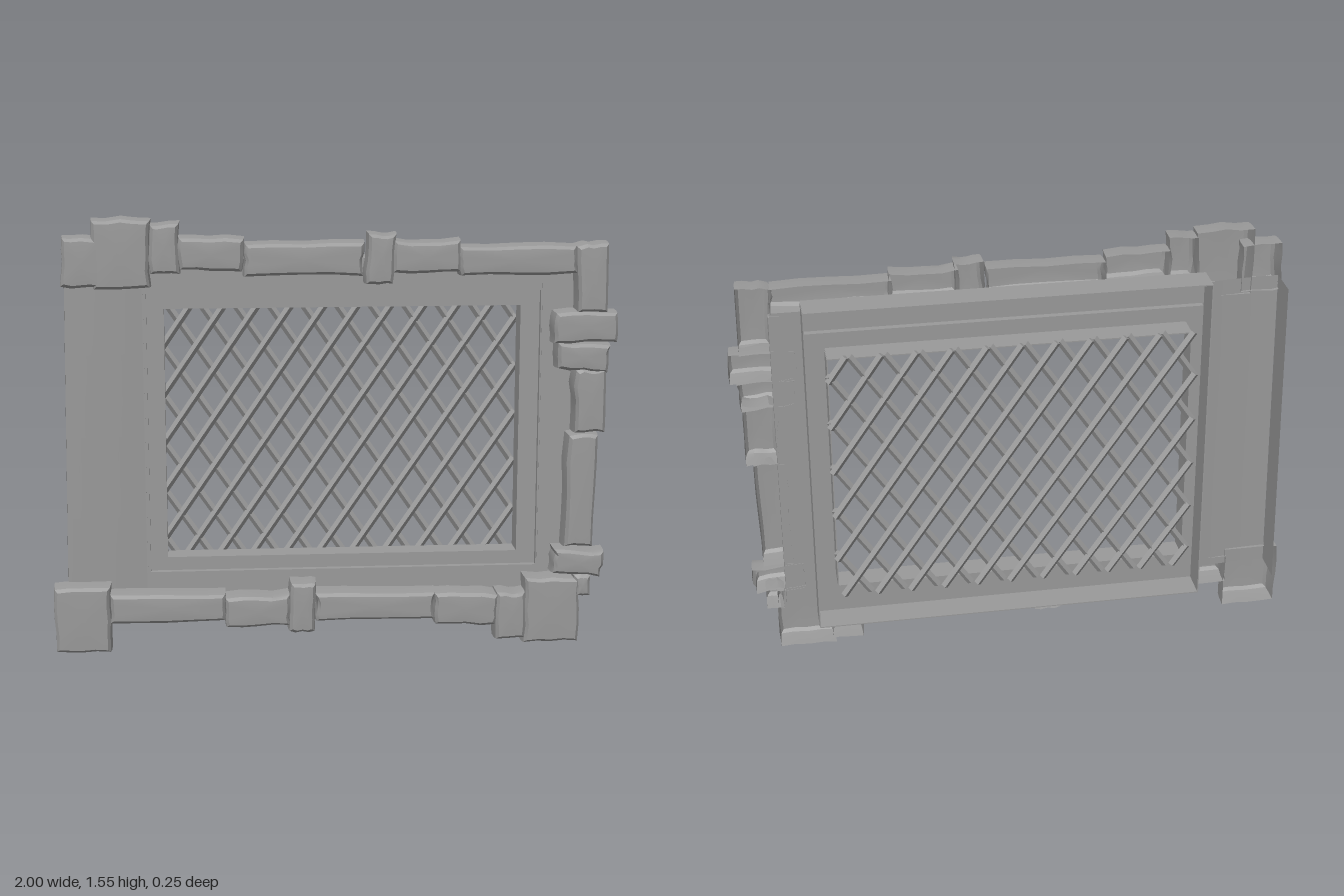
import * as THREE from 'three';
import { toCreasedNormals } from 'three/addons/utils/BufferGeometryUtils.js';

const material = new THREE.MeshStandardMaterial({ color: 0x9a9a9a, side: THREE.DoubleSide });

// Small seeded generator, returns -1..1
let seed = 7;
function jitter() {
  seed = (seed * 16807) % 2147483647;
  return (seed / 2147483647) * 2 - 1;
}

function add(parent, name, geometry, x = 0, y = 0, z = 0) {
  const mesh = new THREE.Mesh(geometry, material);
  mesh.name = name;
  mesh.position.set(x, y, z);
  parent.add(mesh);
  return mesh;
}

// Rough stone: a hollow shell, open at the back, with a worn front edge
function stoneGeometry(x0, x1, y0, y1, tilt = 0) {
  const corners = [[x0, y0], [x1, y0], [x1, y1], [x0, y1]];
  const cx = (x0 + x1) / 2, cy = (y0 + y1) / 2;
  const hw = (x1 - x0) / 2, hh = (y1 - y0) / 2;
  const outline = [];
  const steps = 4;
  corners.forEach(([ax, ay], i) => {
    const [bx, by] = corners[(i + 1) % 4];
    for (let k = 0; k < steps; k++) {
      const t = k / steps;
      outline.push([ax + (bx - ax) * t + jitter() * 0.005, ay + (by - ay) * t + jitter() * 0.005]);
    }
  });
  // Cross-sections from back to front: depth and inset
  const levels = [[0.032, 0], [0.08, 0.001], [0.11, 0.004], [0.123, 0.014]];
  const n = outline.length;
  const positions = [], index = [];
  levels.forEach(([z, inset]) => outline.forEach(([x, y]) => positions.push(
    (x - cx) * (1 - inset / hw), (y - cy) * (1 - inset / hh), z)));
  for (let l = 0; l < levels.length - 1; l++) {
    for (let i = 0; i < n; i++) {
      const a = l * n + i, b = l * n + (i + 1) % n;
      index.push(a, b, b + n, a, b + n, a + n);
    }
  }
  // Slightly domed front face
  const last = (levels.length - 1) * n, centre = positions.length / 3;
  positions.push(0, 0, 0.127);
  for (let i = 0; i < n; i++) index.push(last + i, last + (i + 1) % n, centre);
  const geometry = new THREE.BufferGeometry();
  geometry.setAttribute('position', new THREE.Float32BufferAttribute(positions, 3));
  geometry.setIndex(index);
  geometry.rotateZ(tilt).translate(cx, cy, 0);
  return toCreasedNormals(geometry, 0.5);
}

// Stones as x0, x1, y0, y1 and an optional tilt
const stones = {
  topStone: [
    [-0.94, -0.80, 1.31, 1.485], [-0.835, -0.635, 1.305, 1.547], [-0.64, -0.535, 1.355, 1.53],
    [-0.54, -0.315, 1.365, 1.48], [-0.315, 0.10, 1.345, 1.46], [0.107, 0.207, 1.312, 1.49, -0.06],
    [0.20, 0.435, 1.35, 1.465], [0.43, 0.845, 1.34, 1.447],
  ],
  sideStone: [
    [0.842, 0.957, 1.205, 1.448, 0.02], [0.768, 0.994, 1.1, 1.213], [0.78, 0.965, 1.0, 1.1, -0.06],
    [0.842, 0.957, 0.78, 1.01], [0.822, 0.932, 0.365, 0.775, -0.01], [0.782, 0.965, 0.258, 0.352, -0.1],
    [0.86, 0.92, 0.175, 0.262],
  ],
  bottomStone: [
    [-0.996, -0.795, 0.007, 0.25], [-0.80, -0.385, 0.113, 0.218], [-0.395, -0.16, 0.09, 0.205],
    [-0.163, -0.067, 0.065, 0.25, -0.06], [-0.07, 0.36, 0.103, 0.21], [0.355, 0.585, 0.08, 0.2, -0.04],
    [0.575, 0.69, 0.025, 0.2], [0.68, 0.883, 0.01, 0.25],
  ],
};

function rectangle(target, x0, x1, y0, y1) {
  target.moveTo(x0, y0);
  target.lineTo(x1, y0);
  target.lineTo(x1, y1);
  target.lineTo(x0, y1);
  target.closePath();
  return target;
}

// Four thin walls around a rectangle, running from z0 to z1
function wallRing(parent, name, x0, x1, y0, y1, z0, z1) {
  const depth = z1 - z0, z = (z0 + z1) / 2, t = 0.004;
  for (const x of [x0, x1]) add(parent, name, new THREE.BoxGeometry(t, y1 - y0, depth), x, (y0 + y1) / 2, z);
  for (const y of [y0, y1]) add(parent, name, new THREE.BoxGeometry(x1 - x0, t, depth), (x0 + x1) / 2, y, z);
}

// Part of the line y = cy + slope * (x - cx) inside the lattice area
const area = { x0: -0.605, x1: 0.668, y0: 0.3, y1: 1.24 };
function clipLine(cx, cy, slope) {
  const xa = cx + (area.y0 - cy) / slope, xb = cx + (area.y1 - cy) / slope;
  const start = Math.max(area.x0, Math.min(xa, xb));
  const end = Math.min(area.x1, Math.max(xa, xb));
  return [start, end];
}

export function createModel() {
  seed = 7;
  const model = new THREE.Group();
  model.name = 'latticeWindow';

  // Stone surround
  const surround = new THREE.Group();
  surround.name = 'stoneSurround';
  for (const [name, list] of Object.entries(stones)) {
    for (const stone of list) add(surround, name, stoneGeometry(...stone));
  }
  model.add(surround);

  // Wide gently curved wall panel beside the window, with its return edge
  const panel = new THREE.PlaneGeometry(0.28, 1.17, 6, 4);
  const p = panel.attributes.position;
  for (let i = 0; i < p.count; i++) {
    const u = p.getX(i) / 0.28 + 0.5, v = p.getY(i) / 1.17 + 0.5;
    p.setX(i, p.getX(i) + 0.015 * v * (1 - u));
    p.setZ(i, 0.045 - 0.02 * u * u);
  }
  panel.computeVertexNormals();
  add(model, 'wallPanel', panel, -0.807, 0.775);
  const edge = add(model, 'wallPanelEdge', new THREE.PlaneGeometry(0.125, 1.17), -0.94, 0.775, -0.0175);
  edge.rotation.set(0, -Math.PI / 2, -0.0128, 'ZYX');

  // Narrow wall strip on the other side
  add(model, 'wallStrip', new THREE.PlaneGeometry(0.11, 1.15), 0.795, 0.78, 0.034);
  add(model, 'wallStripEdge', new THREE.BoxGeometry(0.004, 1.15, 0.035), 0.85, 0.78, 0.017);

  // Window frame: stepped plates around the opening, hollow behind
  const frame = new THREE.Group();
  frame.name = 'windowFrame';
  const steps = [
    [[-0.665, 0.74, 0.147, 1.395], [-0.655, 0.735, 0.275, 1.28], 0.028],
    [[-0.655, 0.735, 0.275, 1.28], [-0.592, 0.665, 0.325, 1.222], 0.005],
  ];
  for (const [outer, inner, z] of steps) {
    const shape = rectangle(new THREE.Shape(), ...outer);
    shape.holes.push(rectangle(new THREE.Path(), ...inner));
    add(frame, 'framePlate', new THREE.ShapeGeometry(shape), 0, 0, z);
  }
  wallRing(frame, 'frameOuterWall', -0.665, 0.74, 0.147, 1.395, -0.078, 0.03);
  wallRing(frame, 'frameStep', -0.655, 0.735, 0.275, 1.28, 0.005, 0.028);
  wallRing(frame, 'frameInnerWall', -0.594, 0.667, 0.323, 1.224, -0.085, 0.005);
  model.add(frame);

  // Diagonal lattice bars set on edge, one layer per direction, bowed slightly back
  const lattice = new THREE.Group();
  lattice.name = 'lattice';
  for (const side of [1, -1]) {
    const slope = side * 1.46;
    for (let k = -12; k <= 12; k++) {
      const cx = k * 0.12, cy = 1.2475;
      const [start, end] = clipLine(cx, cy, slope);
      if (end - start < 0.015) continue;
      const length = (end - start) * Math.hypot(1, slope);
      const mx = (start + end) / 2;
      const z = (side > 0 ? -0.094 : -0.106) - 0.008 * (1 - (mx / 0.67) ** 2);
      const bar = add(lattice, 'latticeBar', new THREE.BoxGeometry(length, 0.019, 0.019).rotateX(Math.PI / 4),
        mx, cy + slope * (mx - cx), z);
      bar.rotation.z = Math.atan(slope);
    }
  }
  model.add(lattice);

  return model;
}
